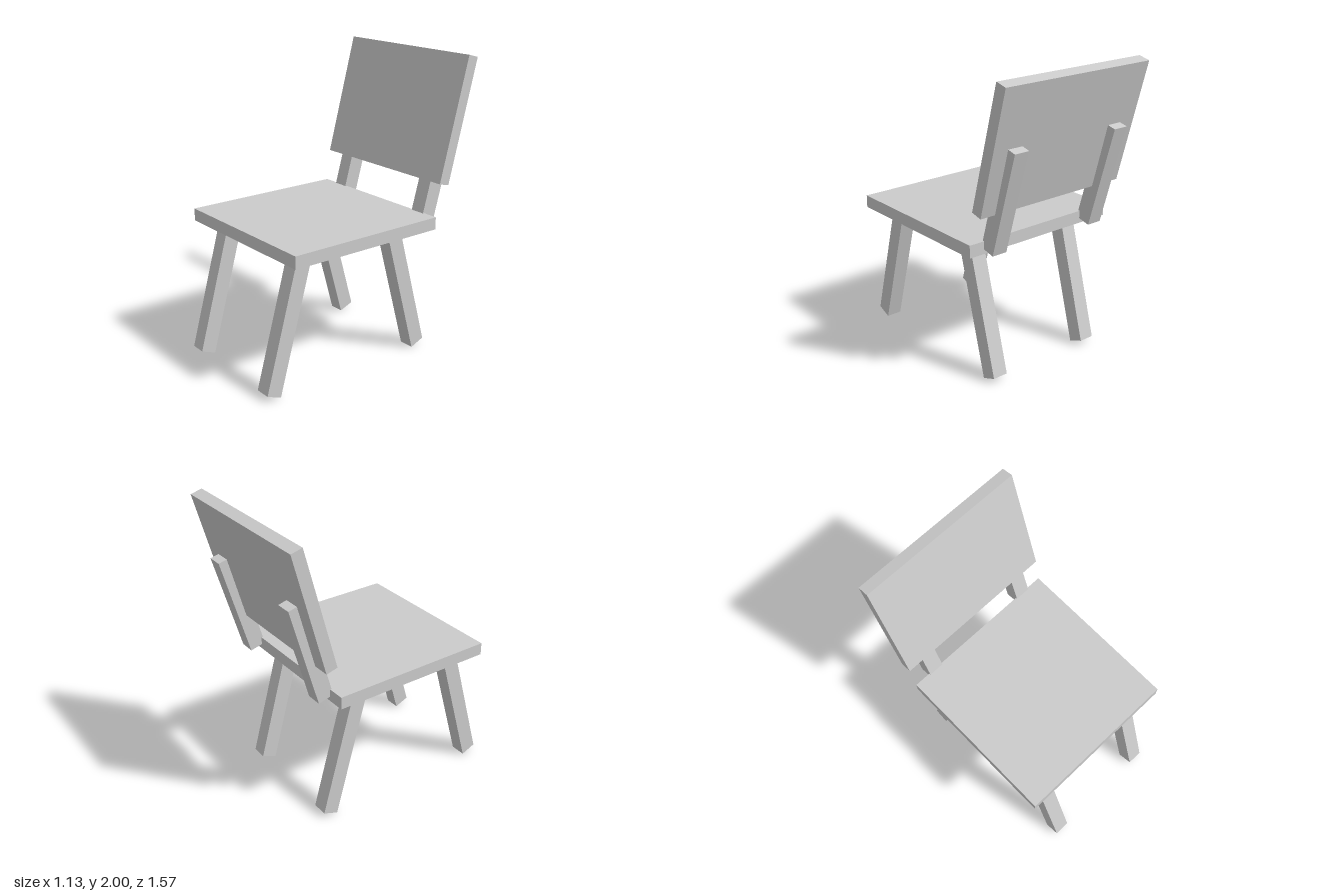
import * as THREE from 'three';

const material = new THREE.MeshStandardMaterial({ color: 0xcccccc, flatShading: true });

// A bar with a side profile of [z, y] corners, spanning x0 to x1
function bar(name, profile, x0, x1) {
  const shape = new THREE.Shape(profile.map(([z, y]) => new THREE.Vector2(-z, y)));
  const geometry = new THREE.ExtrudeGeometry(shape, { depth: x1 - x0, bevelEnabled: false });
  geometry.rotateY(Math.PI / 2).translate(x0, 0, 0);
  const mesh = new THREE.Mesh(geometry, material);
  mesh.name = name;
  return mesh;
}

export function createModel() {
  const group = new THREE.Group();
  group.name = 'chair';

  // Flat seat
  const seat = new THREE.Mesh(new THREE.BoxGeometry(1.13, 0.083, 1.132), material);
  seat.name = 'seat';
  seat.position.set(-0.002, 0.931, 0.103);
  group.add(seat);

  // Splayed legs, tops sunk into the seat
  const frontLeg = [[0.788, 0.042], [0.688, 0.002], [0.433, 0.91], [0.534, 0.95]];
  const backLeg = [[-0.418, 0.002], [-0.519, 0.042], [-0.266, 0.95], [-0.165, 0.91]];
  // Leaning posts that carry the backrest
  const post = [[-0.439, 0.927], [-0.545, 0.9], [-0.738, 1.58], [-0.632, 1.607]];
  for (const [side, legX, postX] of [['right', -0.45, -0.45], ['left', 0.317, 0.349]]) {
    group.add(bar(side + 'FrontLeg', frontLeg, legX, legX + 0.106));
    group.add(bar(side + 'BackLeg', backLeg, legX, legX + 0.106));
    group.add(bar(side + 'BackPost', post, postX, postX + 0.106));
  }

  // Leaning backrest panel
  const panel = [[-0.488, 1.19], [-0.566, 1.17], [-0.784, 1.98], [-0.706, 2]];
  group.add(bar('backrest', panel, -0.567, 0.563));

  return group;
}
